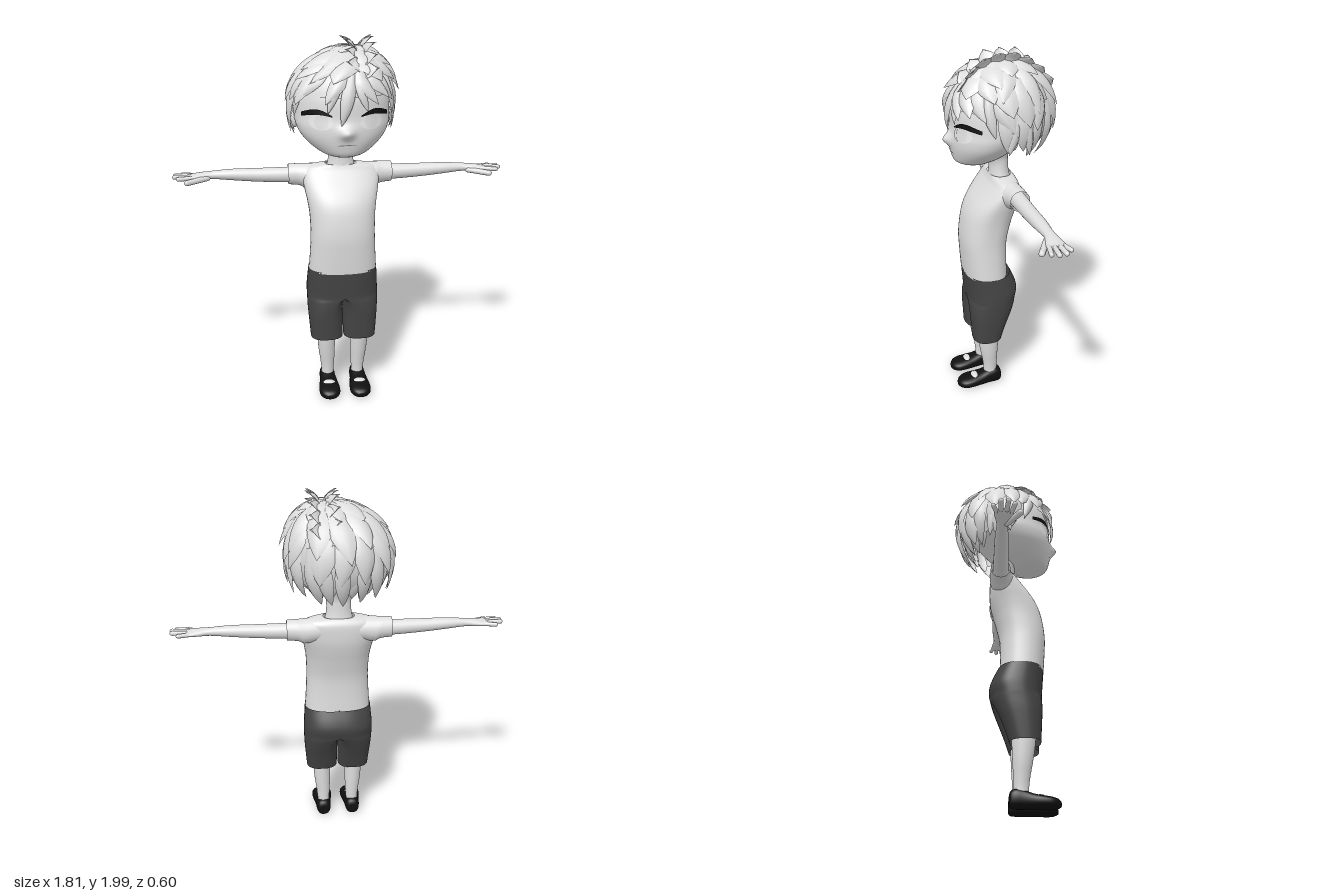
import * as THREE from 'three';
import { mergeGeometries } from 'three/addons/utils/BufferGeometryUtils.js';

const mat = (name, color) => new THREE.MeshStandardMaterial({ name, color, side: THREE.DoubleSide });
const V = (x, y, z) => new THREE.Vector3(x, y, z);
const { smoothstep, degToRad: rad } = THREE.MathUtils;

// Surface through rows of points; closed rows wrap round, caps fill both ends
function grid(rows, closed = false, caps = false) {
  const n = rows[0].length, pts = rows.flat(), idx = [];
  for (let i = 0; i < rows.length - 1; i++) {
    for (let j = 0; j < (closed ? n : n - 1); j++) {
      const k = (j + 1) % n, a = i * n + j, b = i * n + k;
      idx.push(a, b, b + n, a, b + n, a + n);
    }
  }
  if (caps) for (const [r, flip] of [[0, true], [rows.length - 1, false]]) {
    const mid = rows[r].reduce((s, p) => s.add(p), V(0, 0, 0)).divideScalar(n);
    const c = pts.push(mid) - 1;
    for (let j = 0; j < n; j++) {
      const a = r * n + j, b = r * n + (j + 1) % n;
      idx.push(c, ...(flip ? [b, a] : [a, b]));
    }
  }
  const g = new THREE.BufferGeometry().setFromPoints(pts);
  g.setIndex(idx);
  g.computeVertexNormals();
  return g;
}

// Catmull-Rom smoothing of a table of cross-section numbers
function smooth(rows, k = 5) {
  const out = [];
  for (let i = 0; i < rows.length - 1; i++) {
    const [p, a, b, q] = [rows[Math.max(i - 1, 0)], rows[i], rows[i + 1], rows[Math.min(i + 2, rows.length - 1)]];
    for (let s = 0; s < k; s++) {
      const t = s / k;
      out.push(a.map((v, c) => v + 0.5 * t * (b[c] - p[c] + t * (2 * p[c] - 5 * v + 4 * b[c] - q[c] + t * (3 * (v - b[c]) + q[c] - p[c])))));
    }
  }
  out.push(rows.at(-1));
  return out;
}

const ring = (n, e, f) => Array.from({ length: n }, (_, j) => {
  const a = j / n * Math.PI * 2, pw = v => Math.sign(v) * Math.abs(v) ** (2 / e);
  return f(pw(Math.sin(a)), pw(Math.cos(a)));
});
// Upright loft: rows of [y, outerX, zFront, zBack, innerX, middleX]
const upright = (rows, n = 32, e = 2, caps = false) => grid(smooth(rows).map(([y, xo, f, b, xi = -xo, xm = 0]) =>
  ring(n, e, (s, c) => V(xm + s * (s > 0 ? xo - xm : xm - xi), y, (f + b) / 2 + (f - b) / 2 * c))), true, caps);
// Sideways loft: rows of [x, y, z, ry, rz]
const sideways = (rows, caps = true) => grid(smooth(rows).map(([x, y, z, ry, rz]) =>
  ring(24, 2, (s, c) => V(x, y + ry * c, z + rz * s))), true, caps);

// Head cross-sections and the face surface they define
const headRows = [[1.392, .06, .2, .05], [1.41, .11, .238, .03], [1.45, .17, .254, -.04], [1.5, .218, .262, -.09],
  [1.55, .244, .262, -.14], [1.6, .252, .254, -.18], [1.7, .25, .245, -.22], [1.8, .215, .2, -.19], [1.88, .12, .12, -.1], [1.91, .03, .03, -.03]];
const headTable = smooth(headRows, 8);
const nose = (x, y) => .036 * Math.exp(-((x / .036) ** 2) - ((y - 1.53) / .03) ** 2);
function faceZ(x, y) {
  const i = Math.max(1, headTable.findIndex(r => r[0] >= y)), [a, b] = [headTable[i - 1], headTable[i]];
  const t = (y - a[0]) / (b[0] - a[0]);
  const [, w, f, k] = a.map((v, c) => v + (b[c] - v) * t);
  return (f + k) / 2 + (f - k) / 2 * Math.sqrt(Math.max(0, 1 - (x / w) ** 2)) + nose(x, y);
}
// Thin plate that follows the face between a lower and an upper curve
function facePlate(x0, x1, low, high, off) {
  return grid([0, .25, .5, .75, 1].map(v => Array.from({ length: 21 }, (_, j) => {
    const t = j / 20, x = x0 + (x1 - x0) * t, y = low(t) + (high(t) - low(t)) * v;
    return V(x, y, faceZ(x, y) + off);
  })));
}
const oval = (cx, cy, rx, ry, off) => {
  const h = t => ry * Math.sqrt(Math.max(0, 1 - (2 * t - 1) ** 2));
  return facePlate(cx - rx, cx + rx, t => cy - h(t), t => cy + h(t), off);
};

// Hair: directions around a crown that sits left of centre
const scalp = (a, t, r) => V(r * Math.sin(t) * Math.sin(a) + .05 * Math.max(0, Math.cos(t)) ** 2,
  1.67 + r * Math.cos(t), r * Math.sin(t) * Math.cos(a) - .005);
const centred = deg => ((deg + 540) % 360) - 180;
const hem = deg => {
  const d = Math.abs(centred(deg));
  return rad(89 + 29 * smoothstep(d, 58, 88) + 18 * smoothstep(d, 88, 135));
};
const taper = s => s < .45 ? .65 + .35 * s / .45 : Math.cos((s - .45) / .55 * Math.PI / 2) ** .9;
const across = [-1, -.5, 0, .5, 1];
function lock(a0, a1, t0, t1, w, r0, lift) {
  const rows = [];
  for (let i = 0; i <= 9; i++) {
    const s = i / 9, t = t0 + (t1 - t0) * s, hw = w * taper(s) / (.27 * Math.max(Math.sin(t), .3));
    rows.unshift(across.map(u => scalp(a0 + (a1 - a0) * s * s + u * hw, t, r0 + lift * s * s + .02 * (1 - u * u) * taper(s))));
  }
  return grid(rows);
}
function hairGeometry() {
  let seed = 11;
  const rnd = () => (seed = (seed * 16807) % 2147483647) / 2147483647 - .5;
  const parts = [];
  // scalp cap
  parts.push(grid(Array.from({ length: 15 }, (_, i) => Array.from({ length: 60 }, (_, j) =>
    scalp(rad(j * 6), hem(j * 6) * .92 * (1 - i / 14) + .001, .26))), true));
  // overlapping layers: [tip as share of hem, count, half width, lift]
  [[.38, 8, .075, .022], [.6, 11, .07, .032], [.8, 14, .062, .04], [1, 19, .05, .042]].forEach(([f, n, w, lift], layer) => {
    for (let i = 0; i < n; i++) {
      const deg = (i + (layer % 2) / 2) / n * 360 + rnd() * 12, d = centred(deg);
      const sweep = Math.abs(d) < 80 ? (d < 12 ? -14 : 14) : 0, h = hem(deg);
      parts.push(lock(rad(deg), rad(deg + sweep + rnd() * 18), Math.max(.06, h * (f - .46)), h * (f + rnd() * .1),
        w * (1 + rnd() * .4), .262, lift + rnd() * .028));
    }
  });
  // fringe strands between and beside the eyes
  for (const [a, b, t, w] of [[3, -6, 112, .036], [-12, -20, 98, .03], [14, 22, 97, .03], [-58, -68, 106, .034], [60, 70, 106, .034]])
    parts.push(lock(rad(a), rad(b), .9, rad(t), w, .264, .022));
  // flicked tufts over the ears
  for (const s of [-1, 1]) for (const [a, b, t] of [[92, 84, 122], [104, 110, 126]])
    parts.push(lock(rad(s * a), rad(s * b), 1.3, rad(t), .034, .258, .06));
  // inner locks at the nape
  for (let i = -3; i <= 3; i++)
    parts.push(lock(rad(180 + i * 17), rad(180 + i * 16), 1.7, rad(139 + rnd() * 6), .045, .235, .035));
  // upright crest along the parting
  for (let i = 0; i < 8; i++) for (const s of [-1, 1]) {
    const p = rad(-57 + i * 15 + s * 3.5), up = V(0, Math.cos(p), Math.sin(p)), along = V(0, -Math.sin(p), Math.cos(p));
    const len = .028 + .05 * Math.cos(p) ** 2 + rnd() * .016, rows = [];
    for (let k = 0; k <= 6; k++) {
      const q = k / 6;
      rows.push(across.map(u => V(.085 + s * .01, 1.67, 0).addScaledVector(up, .252 + len * q * (1.05 - .15 * q))
        .addScaledVector(along, u * .046 * taper(q)).add(V(s * (.06 * q * q + .014 * (1 - u * u)), 0, 0))));
    }
    parts.push(grid(rows));
  }
  return mergeGeometries(parts);
}

export function createModel() {
  const model = new THREE.Group();
  const pale = mat('pale grey', 0xdedede), charcoal = mat('charcoal', 0x444444), black = mat('black', 0x101010);
  const eyeWhite = mat('eye white', 0xe8e8e8), line = mat('mouth grey', 0x808080);
  const add = (parent, name, geo, m) => {
    const mesh = new THREE.Mesh(geo, m);
    mesh.name = name;
    parent.add(mesh);
    return mesh;
  };

  // Head, neck and hair
  const head = grid(headTable.map(([y, w, f, b]) => ring(96, 2, (s, c) =>
    V(w * s, y, (f + b) / 2 + (f - b) / 2 * c + (c > 0 ? nose(w * s, y) : 0)))), true, true);
  add(model, 'head', head, pale);
  add(model, 'neck', upright([[1.26, .095, .06, -.075], [1.32, .073, .05, -.058], [1.38, .067, .05, -.053], [1.43, .075, .07, -.056], [1.5, .11, .09, -.085]]), pale);
  add(model, 'hair', hairGeometry(), pale);
  add(model, 'mouth', facePlate(-.048, .048, t => 1.464 + .003 * Math.sin(Math.PI * t), t => 1.468 + .004 * Math.sin(Math.PI * t), .003), line);

  // Shirt body
  add(model, 'shirt', upright([[.74, .187, .205, -.034], [.85, .18, .213, -.03], [.95, .176, .217, -.034], [1.05, .179, .205, -.056],
    [1.12, .188, .185, -.075], [1.18, .2, .15, -.088], [1.24, .21, .1, -.092], [1.28, .205, .068, -.09],
    [1.302, .18, .056, -.08], [1.314, .125, .052, -.068], [1.317, .085, .052, -.062]], 48, 2.4), pale);

  // Left half, mirrored for the right
  for (const [side, sx] of [['left', 1], ['right', -1]]) {
    const half = new THREE.Group();
    half.name = side + 'Side';
    half.scale.x = sx;
    model.add(half);

    // Face
    add(half, 'eye', oval(.128, 1.586, .06, .04, .004), eyeWhite);
    add(half, 'iris', oval(.128, 1.588, .036, .038, .008), pale);
    add(half, 'eyelash', facePlate(.072, .222, t => 1.612 + .012 * Math.sin(Math.PI * t) - .004 * t,
      t => 1.618 + .026 * Math.sin(Math.PI * t) + .01 * t, .011), black);
    const ear = add(half, 'ear', new THREE.SphereGeometry(1, 16, 12), pale);
    ear.position.set(.245, 1.565, .0);
    ear.scale.set(.022, .046, .03);

    // Sleeve and arm
    add(half, 'sleeve', sideways([[.06, 1.25, -.02, .062, .06], [.13, 1.247, -.022, .066, .066], [.19, 1.243, -.026, .069, .065],
      [.215, 1.249, -.03, .062, .06], [.24, 1.252, -.032, .059, .056], [.285, 1.253, -.033, .056, .053]], false), pale);
    add(half, 'arm', sideways([[.2, 1.25, -.033, .044, .044], [.3, 1.25, -.033, .042, .042], [.45, 1.254, -.033, .037, .038],
      [.58, 1.26, -.033, .031, .035], [.69, 1.262, -.033, .022, .028], [.75, 1.259, -.03, .02, .039],
      [.79, 1.257, -.027, .016, .047], [.815, 1.257, -.027, .012, .044], [.822, 1.257, -.027, .004, .03]]), pale);

    // Fingers and thumb as rods with round tips
    for (const [x, y, z, tx, ty, tz, r] of [[.79, 1.257, -.058, .856, 1.258, -.077, .0115], [.79, 1.259, -.04, .89, 1.262, -.042, .0125],
      [.79, 1.259, -.016, .893, 1.262, -.006, .0125], [.79, 1.257, .006, .872, 1.258, .024, .012], [.72, 1.25, -.01, .825, 1.243, .052, .0155]]) {
      const a = V(x, y, z), b = V(tx, ty, tz), d = b.clone().sub(a);
      const finger = add(half, 'finger', new THREE.CapsuleGeometry(r, d.length(), 4, 10), pale);
      finger.position.copy(a.add(b).multiplyScalar(.5));
      finger.quaternion.setFromUnitVectors(V(0, 1, 0), d.normalize());
    }

    // Half of the shorts: one leg opening out into the seat
    add(half, 'shorts', upright([[.335, .183, .18, .018, .003, .093], [.42, .19, .185, -.01, .002, .09], [.5, .196, .19, -.042, .002, .08],
      [.56, .198, .192, -.068, .001, .045], [.59, .199, .193, -.08, 0, 0], [.64, .198, .196, -.09, 0, 0],
      [.69, .194, .2, -.076, 0, 0], [.75, .189, .204, -.046, 0, 0]], 56, 2.5), charcoal);
    // Bare leg
    add(half, 'leg', upright([[.04, .122, .115, .04, .052, .087], [.1, .122, .115, .038, .052, .087], [.16, .128, .122, .036, .048, .088],
      [.24, .139, .137, .032, .045, .092], [.34, .146, .152, .028, .044, .095], [.45, .15, .155, .025, .045, .098]], 24, 2, true), pale);

    // Shoe with an open instep
    const shoe = [[.014, .022, .016, .07], [.024, .036, .004, .09], [.05, .043, 0, .1], [.09, .045, 0, .093], [.14, .052, 0, .076],
      [.19, .059, 0, .066], [.23, .057, 0, .059], [.258, .042, .004, .05], [.274, .018, .012, .036]];
    add(half, 'shoe', grid(smooth(shoe).map(([z, w, lo, hi]) =>
      ring(24, 2.5, (s, c) => V(.088 - w * s, (lo + hi) / 2 + (hi - lo) / 2 * c, z))), true, true), black);
    const instep = add(half, 'instep', new THREE.SphereGeometry(1, 16, 12), pale);
    instep.position.set(.088, .056, .172);
    instep.scale.set(.038, .019, .026);
  }
  return model;
}
